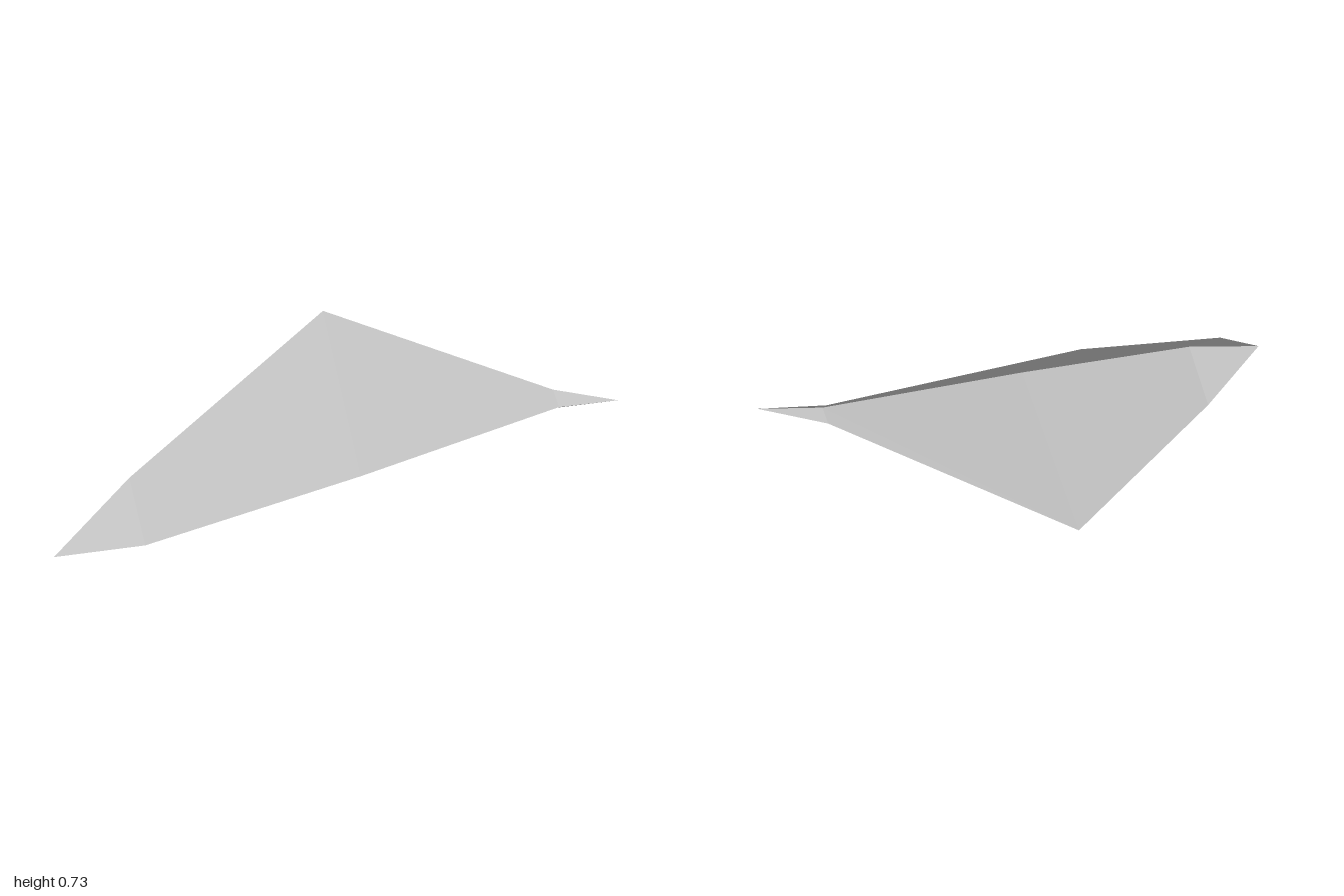
import * as THREE from 'three';

// Stations along the fold, from the -x tip to the +x tip
const spine = [[-1, 0.245, 0.15], [-0.71, 0.28, 0.232], [0.04, 0.372, 0.235], [0.8, 0.465, 0.21], [1, 0.488, 0.27]];
// Free edges of the two wings; they share both tips with the fold
const upperEdge = [spine[0], [-0.71, 0.416, 0.038], [0.08, 0.733, -0.27], [0.8, 0.505, 0.155], spine[4]];
const lowerEdge = [spine[0], [-0.67, 0.13, 0.024], [0.08, 0, -0.27], [0.8, 0.428, 0.163], spine[4]];

// Thin sheet lofted between two edges, outer side facing front
function sheet(low, high) {
  const positions = [];
  for (let i = 0; i < low.length - 1; i++) {
    const [a, b, c, d] = [low[i], low[i + 1], high[i + 1], high[i]];
    if (c !== b) positions.push(...a, ...b, ...c);
    if (d !== a) positions.push(...a, ...c, ...d);
  }
  const geometry = new THREE.BufferGeometry();
  geometry.setAttribute('position', new THREE.Float32BufferAttribute(positions, 3));
  geometry.computeVertexNormals();
  return geometry;
}

export function createModel() {
  const group = new THREE.Group();
  group.name = 'foldedSheet';
  const grey = new THREE.MeshStandardMaterial({ color: 0xc0c0c0, side: THREE.DoubleSide, flatShading: true });
  grey.name = 'lightGrey';

  const upperWing = new THREE.Mesh(sheet(spine, upperEdge), grey);
  upperWing.name = 'upperWing';
  const lowerWing = new THREE.Mesh(sheet(lowerEdge, spine), grey);
  lowerWing.name = 'lowerWing';

  group.add(upperWing, lowerWing);
  return group;
}
